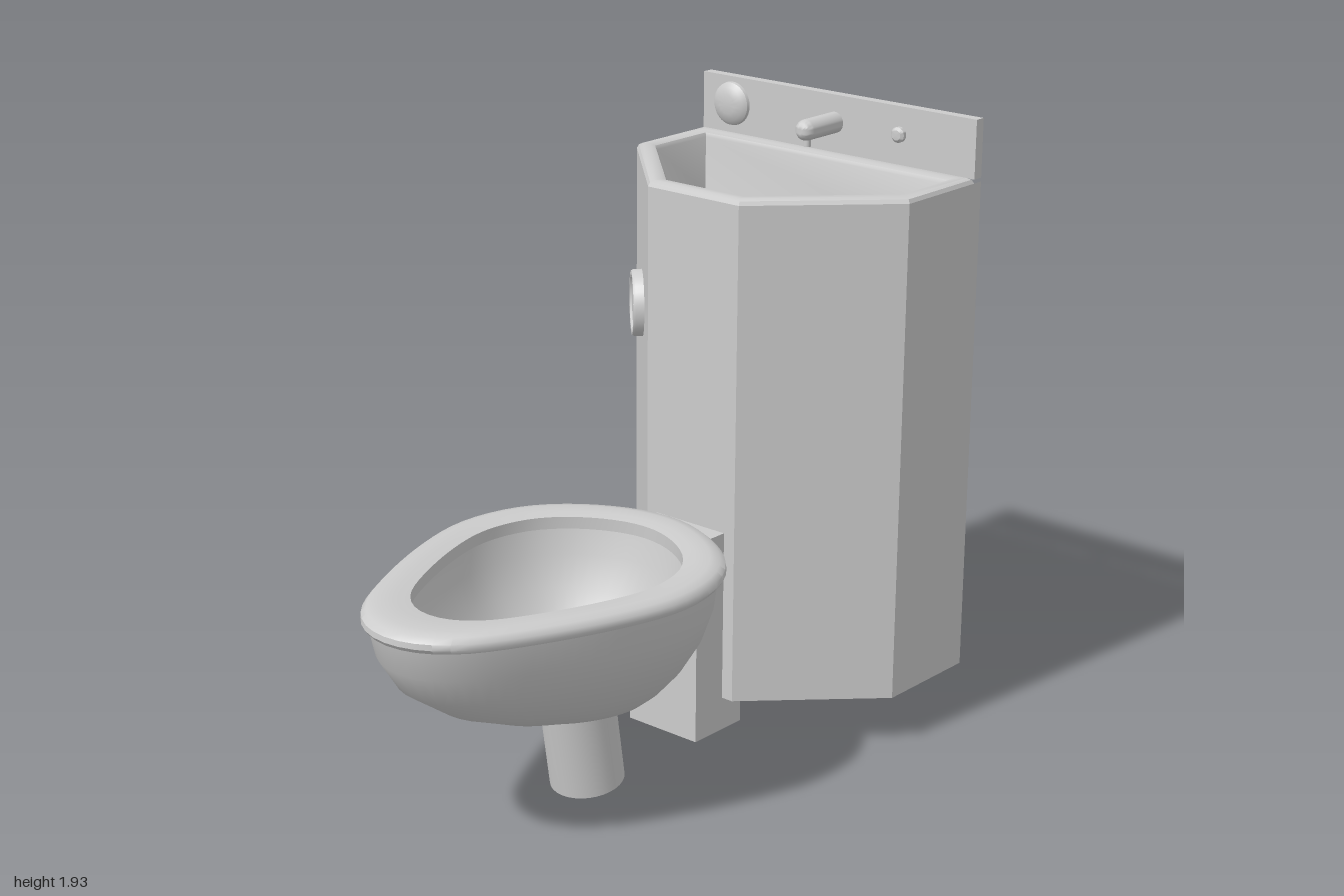
import * as THREE from 'three';
import { toCreasedNormals } from 'three/addons/utils/BufferGeometryUtils.js';

const grey = new THREE.MeshStandardMaterial({ color: 0xcccccc, side: THREE.DoubleSide });

function part(name, geometry, parent, crease = 0.6) {
  const mesh = new THREE.Mesh(toCreasedNormals(geometry, crease), grey);
  mesh.name = name;
  parent.add(mesh);
  return mesh;
}

// Skin a list of rings (arrays of Vector3 of equal length)
function loft(rings, closed = true) {
  const n = rings[0].length, index = [];
  for (let r = 0; r < rings.length - 1; r++) {
    for (let i = 0; i < (closed ? n : n - 1); i++) {
      const a = r * n + i, b = r * n + (i + 1) % n;
      index.push(a, b, b + n, a, b + n, a + n);
    }
  }
  const g = new THREE.BufferGeometry().setFromPoints(rings.flat());
  g.setIndex(index);
  g.computeVertexNormals();
  return g;
}

const lathe = (profile, segments = 32) =>
  new THREE.LatheGeometry(profile.map(p => new THREE.Vector2(...p)), segments);

// Egg outline: u runs from the tip to the round end, v is the half width
const half = [[0, 0], [.012, .18], [.05, .35], [.124, .52], [.41, .875], [.62, 1], [.785, .91], [.893, .69], [.975, .33], [1, 0]];
const N = 64;
const egg = new THREE.CatmullRomCurve3(
  [...half, ...half.slice(1, -1).reverse().map(([u, v]) => [u, -v])].map(([u, v]) => new THREE.Vector3(u, 0, v * .4)),
  true).getSpacedPoints(N).slice(0, N);

// Bowl ring: height, x range, half width, and how far it blends to an ellipse
function bowlRing([y, x0, x1, w, round = 0]) {
  return egg.map((p, i) => {
    const a = i / N * Math.PI * 2;
    const u = THREE.MathUtils.lerp(p.x, .5 - .5 * Math.cos(a), round);
    const v = THREE.MathUtils.lerp(p.z / .4, Math.sin(a), round);
    return new THREE.Vector3(x0 + (x1 - x0) * u, y, v * w);
  });
}

// Cabinet plan: six corners inset by d, with the back at x = back
function cabinetRing(y, d, back) {
  const s = [[back, .53 - d], [.64 + .414 * d, .53 - d], [.29 + d, .175 - .414 * d]];
  return [...s, ...s.map(([x, z]) => [x, -z]).reverse()].map(([x, z]) => new THREE.Vector3(x, y, z));
}

function buildBowl(parent) {
  part('bowlShell', loft([
    [.28, -.33, -.10, .11, 1], [.285, -.37, -.07, .14, .8], [.31, -.46, 0, .2, .5], [.35, -.59, .05, .25, .3],
    [.42, -.75, .1, .315, .1], [.52, -.89, .15, .38], [.62, -.955, .175, .42], [.72, -.98, .185, .437]].map(bowlRing)), parent, 1);
  part('bowlRim', loft([
    [.715, -.97, .18, .43], [.715, -.99, .2, .445], [.728, -1, .21, .453], [.745, -.998, .208, .451],
    [.76, -.98, .19, .437], [.766, -.94, .16, .41], [.764, -.88, .115, .37], [.758, -.83, .08, .335], [.72, -.83, .08, .335]].map(bowlRing)), parent, .7);
  part('bowlInterior', loft([
    [.72, -.85, .095, .35], [.64, -.82, .075, .335], [.54, -.75, .04, .3], [.45, -.63, -.01, .24, .2],
    [.385, -.48, -.06, .165, .5], [.35, -.32, -.125, .097, 1]].map(bowlRing)), parent, 1);

  // Tilted outlet pipe, open at both ends
  const pipe = part('outletPipe', lathe([[.093, .36], [.093, .05], [.097, 0], [.114, 0], [.114, .3]]), parent);
  pipe.position.set(-.182, .018, 0);
  pipe.rotation.z = .154;
}

function buildCabinet(parent) {
  part('cabinetWalls', loft([cabinetRing(.163, 0, 1), cabinetRing(1.738, 0, 1)], false), parent);

  // Rounded rim and sunken basin, closed by a floor around the drain
  const basin = [[1.738, 0], [1.75, .006], [1.756, .018], [1.756, .042], [1.75, .056], [1.738, .062], [1.555, .066], [1.53, .074], [1.52, .092]]
    .map(([y, d]) => cabinetRing(y, d, .965 - d));
  basin.push(basin[0].map(() => new THREE.Vector3(.69, 1.517, 0)));
  part('basin', loft(basin), parent);
  part('basinDrainPipe', lathe([[0, 1.524], [.05, 1.524], [.05, 1.31]]), parent).position.x = .69;

  // Stepped mounting box joining bowl and cabinet
  const step = new THREE.Shape([[.165, .055], [.38, .055], [.38, .165], [.29, .165], [.29, .71], [.165, .71]]
    .map(p => new THREE.Vector2(...p)));
  const box = new THREE.ExtrudeGeometry(step, { depth: .27, bevelEnabled: false });
  part('mountingBox', box.translate(0, 0, -.135), parent);

  // Flush button on the angled wall, with its sleeve reaching inside
  const button = part('flushButton', lathe([
    [.105, -.15], [.105, .025], [.1, .033], [.088, .033], [.082, .026], [.024, .026], [.02, .016], [0, .016]]), parent);
  button.position.set(.465, 1.305, -.353);
  button.quaternion.setFromUnitVectors(new THREE.Vector3(0, 1, 0), new THREE.Vector3(-.712, 0, -.702).normalize());
}

function buildBacksplash(parent) {
  const y = 1.845;
  // Folded plate: punched front with top and side flanges
  const plate = new THREE.Shape([[-.53, 1.75], [.53, 1.75], [.53, 1.932], [-.53, 1.932]].map(p => new THREE.Vector2(...p)));
  for (const [z, r] of [[-.41, .065], [0, .033], [.25, .024]]) {
    plate.holes.push(new THREE.Path().absarc(-z, y, r, 0, Math.PI * 2, true));
  }
  part('backsplashPlate', new THREE.ShapeGeometry(plate, 24).rotateY(Math.PI / 2).translate(.965, 0, 0), parent);
  const rim = [[1.75, .53], [1.932, .53], [1.932, -.53], [1.75, -.53]];
  part('backsplashFlange', loft([.965, 1].map(x => rim.map(([h, z]) => new THREE.Vector3(x, h, z))), false), parent);

  // Fittings turned about an axis pointing out over the basin
  const fitting = (name, z, profile) => {
    const m = part(name, lathe(profile), parent);
    m.position.set(.965, y, z);
    m.rotation.z = Math.PI / 2;
  };
  fitting('roundCover', -.41, [[.065, -.01], [.07, 0], [.068, .01], [.055, .022], [.03, .029], [0, .031]]);
  fitting('smallButton', .25, [[.024, -.01], [.024, .012], [.016, .02], [0, .022]]);
  const spout = [[.033, -.01], [.033, .142]];
  for (let i = 1; i <= 6; i++) {
    const a = i / 6 * Math.PI / 2;
    spout.push([.033 * Math.cos(a), .142 + .033 * Math.sin(a)]);
  }
  fitting('spout', 0, spout);
  part('spoutNozzle', new THREE.CylinderGeometry(.012, .012, .045, 16), parent).position.set(.83, 1.815, 0);
}

export function createModel() {
  const model = new THREE.Group();
  model.name = 'toiletBasinUnit';
  for (const [name, build] of [['bowl', buildBowl], ['cabinet', buildCabinet], ['backsplash', buildBacksplash]]) {
    const group = new THREE.Group();
    group.name = name;
    build(group);
    model.add(group);
  }
  return model;
}
